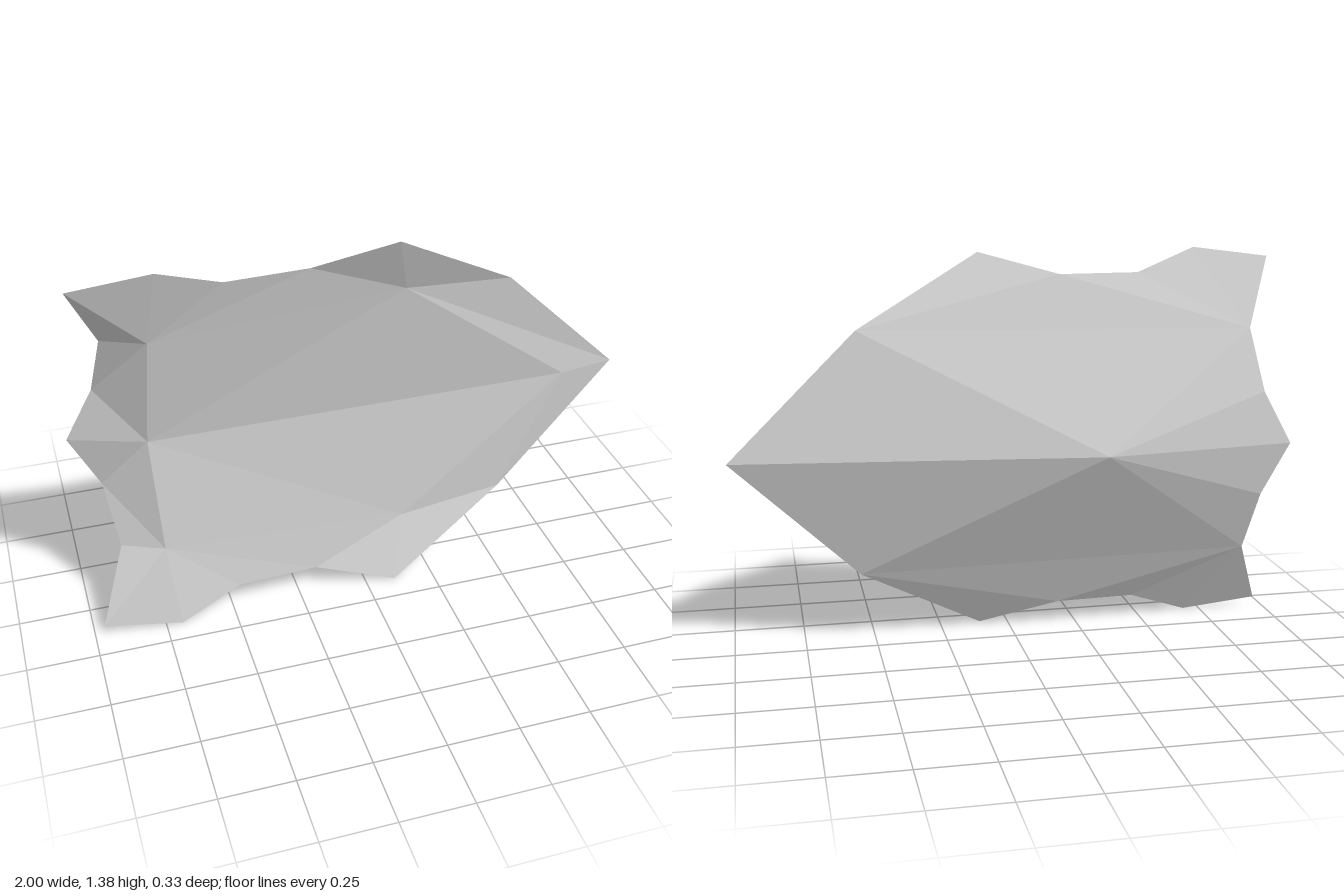
import * as THREE from 'three';

const MID = 0.69; // height of the mirror line

// Corners of one half: [x, distance from mirror line, z]
const P = {
  // outline, from the tip round to the notch
  T: [1, 0, -0.02], A: [0.55, 0.435, 0.04], B: [0.105, 0.685, 0.16],
  C: [-0.18, 0.607, 0.105], D: [-0.47, 0.607, 0.12], E: [-0.69, 0.69, 0.165],
  F: [-0.965, 0.655, 0.145], G: [-0.865, 0.41, 0.022], H: [-0.9, 0.19, -0.055],
  N: [-1, 0, -0.07],
  // front ridge points and the rear apex
  U: [0.79, 0, 0.015], Q: [0.16, 0.467, 0.068], R: [-0.72, 0.41, 0.088],
  S: [-0.74, 0, 0.022], K: [-0.3, 0, -0.165],
};

const FRONT = 'SUQ QAB QBC SQR RQC RCD RDE REF RFG RGH RHS SHN';
const BACK = 'KTA KAG ABC ACG CDG DEG EFG KGH KHN';

// Facets of one half; side = +1 upper or -1 lower, facing = +1 front or -1 back
function shell(list, side, facing, material, name) {
  const pos = [];
  for (const tri of list.split(' ')) {
    const [a, b, c] = [...tri].map((k) => [P[k][0], MID + side * P[k][1], P[k][2]]);
    const area = (b[0] - a[0]) * (c[1] - a[1]) - (b[1] - a[1]) * (c[0] - a[0]);
    pos.push(...a, ...(area * facing > 0 ? [...b, ...c] : [...c, ...b]));
  }
  const geo = new THREE.BufferGeometry();
  geo.setAttribute('position', new THREE.Float32BufferAttribute(pos, 3));
  geo.computeVertexNormals(); // unshared corners keep the facets flat
  const mesh = new THREE.Mesh(geo, material);
  mesh.name = name;
  return mesh;
}

export function createModel() {
  const grey = new THREE.MeshStandardMaterial({ color: 0xcccccc });
  grey.name = 'light grey';
  const group = new THREE.Group();
  group.name = 'facetedShard';
  group.add(
    // the facets beside the tip are split differently above and below
    shell(FRONT + ' QAT QTU', 1, 1, grey, 'upperFront'),
    shell(FRONT + ' QAU UAT', -1, 1, grey, 'lowerFront'),
    shell(BACK, 1, -1, grey, 'upperBack'),
    shell(BACK, -1, -1, grey, 'lowerBack'),
  );
  return group;
}
